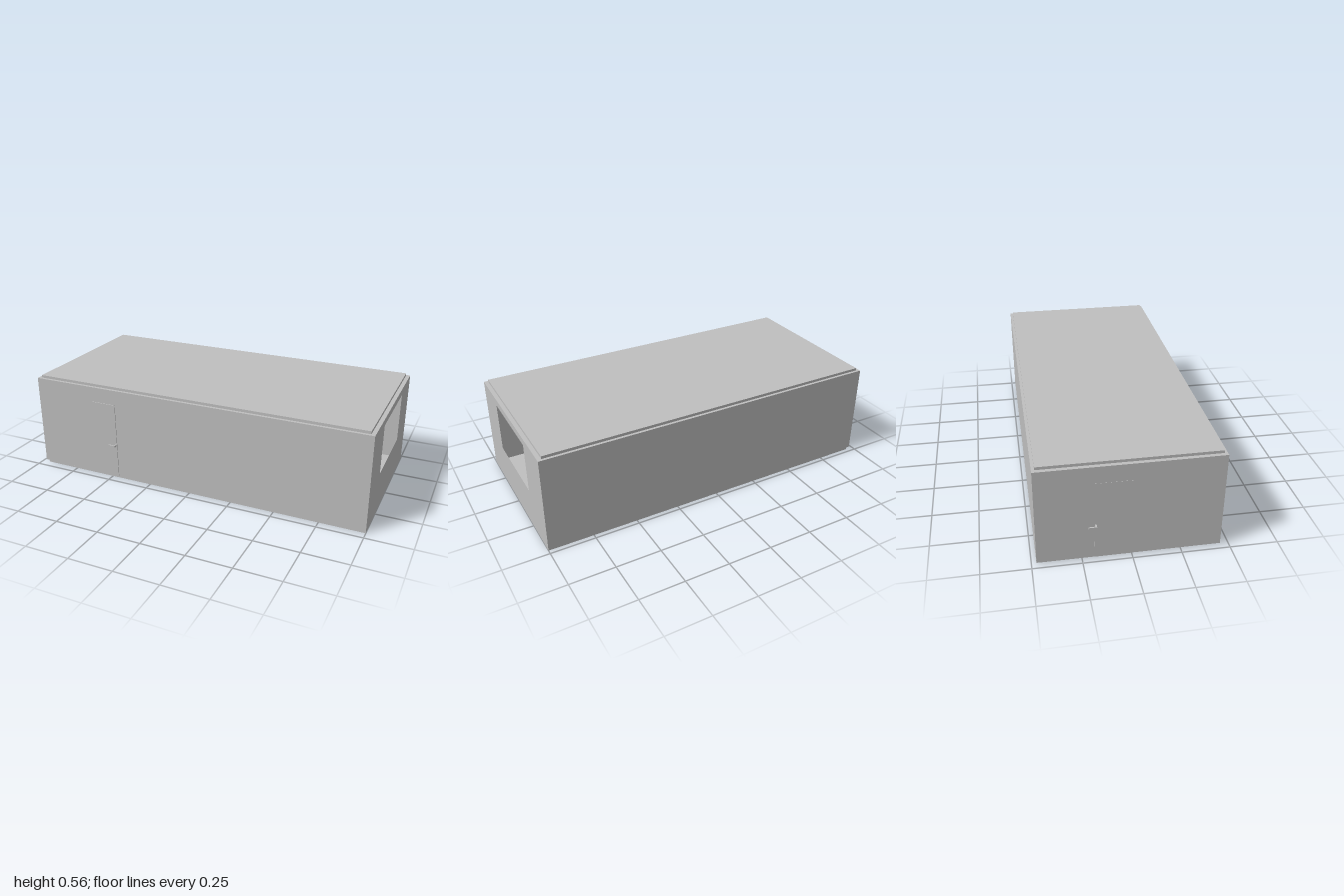
import * as THREE from 'three';

export function createModel() {
  const model = new THREE.Group();
  const grey = new THREE.MeshStandardMaterial({ color: 0xbfbfbf });
  grey.name = 'plain grey';

  const add = (name, geometry, parent = model) => {
    const mesh = new THREE.Mesh(geometry, grey);
    mesh.name = name;
    parent.add(mesh);
    return mesh;
  };
  // Box given by its lower and upper limits on each axis
  const box = (name, [x0, x1], [y0, y1], [z0, z1], parent) => {
    const mesh = add(name, new THREE.BoxGeometry(x1 - x0, y1 - y0, z1 - z0), parent);
    mesh.position.set((x0 + x1) / 2, (y0 + y1) / 2, (z0 + z1) / 2);
    return mesh;
  };
  // Wall across the room with a rectangular opening, drawn in z and y
  const crossWall = (name, x, thick, [z0, z1], [y0, y1], [hz0, hz1], [hy0, hy1]) => {
    const rect = (Kind, a, b, c, d) => {
      const path = new Kind();
      path.moveTo(-a, c).lineTo(-b, c).lineTo(-b, d).lineTo(-a, d).closePath();
      return path;
    };
    const shape = rect(THREE.Shape, z0, z1, y0, y1);
    shape.holes.push(rect(THREE.Path, hz0, hz1, hy0, hy1));
    const geo = new THREE.ExtrudeGeometry(shape, { depth: thick, bevelEnabled: false });
    geo.rotateY(Math.PI / 2);
    add(name, geo).position.x = x;
  };

  // Shell
  const back = -0.475, front = 0.453, t = 0.02;
  box('floor', [-0.955, 1], [0, 0.012], [back, front]);
  box('frontWall', [-0.975, 1], [0.012, 0.542], [front - t, front]);
  box('backWall', [-0.975, 1], [0.012, 0.542], [back, back + t]);
  box('rightEndWall', [-0.975, -0.955], [0.012, 0.542], [back + t, front - t]);
  crossWall('windowWall', 0.978, 0.022, [back + t, front - t], [0.012, 0.542], [-0.24, 0.22], [0.225, 0.503]);
  box('roof', [-0.955, 0.978], [0.53, 0.557], [-0.46, 0.437]);

  // Inner partition with a doorway
  crossWall('partition', -0.4, t, [back + t, front - t], [0.012, 0.53], [-0.11, 0.087], [0.014, 0.44]);

  // Doors, each with an L-shaped handle
  box('frontDoor', [-0.605, -0.457], [0.012, 0.455], [front, front + 0.004]);
  box('endDoor', [-0.976, -0.975], [0.012, 0.45], [-0.19, 0]);
  const handle = (name) => {
    const group = new THREE.Group();
    group.name = name;
    box('stem', [-0.004, 0.004], [-0.005, 0.005], [0, 0.024], group);
    box('lever', [-0.037, 0.004], [-0.005, 0.005], [0.018, 0.025], group);
    model.add(group);
    return group;
  };
  handle('frontDoorHandle').position.set(-0.463, 0.208, front);
  const endHandle = handle('endDoorHandle');
  endHandle.position.set(-0.975, 0.208, -0.182);
  endHandle.rotation.y = -Math.PI / 2;

  // Kitchen counter along the back wall
  box('counter', [0.3, 0.865], [0.012, 0.188], [back + t, -0.265]);
  box('worktop', [0.3, 0.874], [0.188, 0.2], [back + t, -0.25]);
  box('hobPlate', [0.62, 0.76], [0.2, 0.204], [-0.42, -0.29]);
  for (const x of [0.655, 0.725]) {
    for (const z of [-0.387, -0.323]) {
      add('hobRing', new THREE.CylinderGeometry(0.022, 0.022, 0.005, 20)).position.set(x, 0.206, z);
    }
  }

  return model;
}
